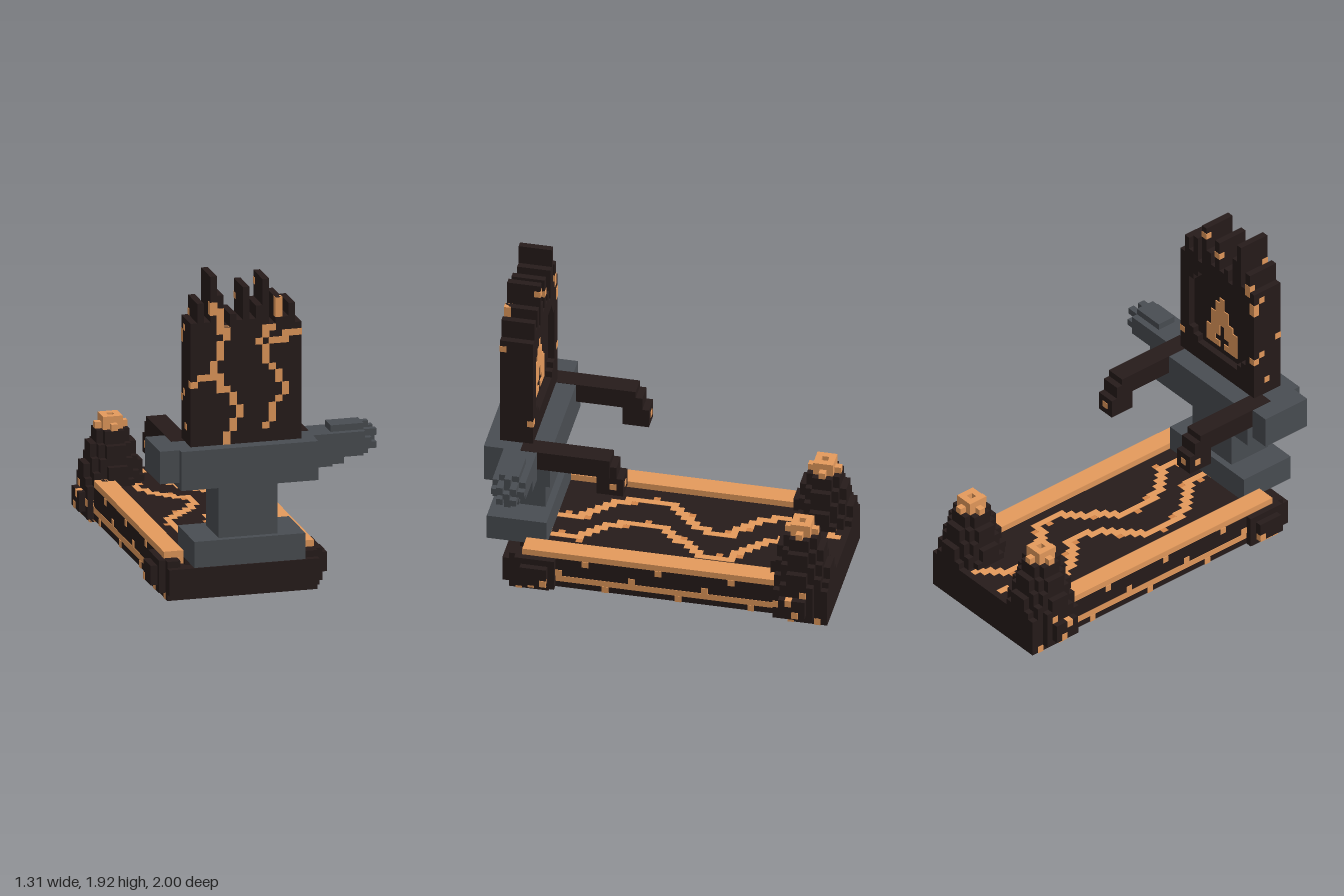
import * as THREE from 'three';

const mat = (name, color) => Object.assign(new THREE.MeshStandardMaterial({ color }), { name });

export function createModel() {
  const basalt = mat('basalt', 0x261b1a), lava = mat('lava', 0xe49a5c), steel = mat('steel', 0x494d52);
  const ember = mat('ember', 0xd4864a);
  const root = new THREE.Group();
  root.name = 'treadmill';
  // Everything is laid out in whole blocks, with x measured from the middle of the deck
  const model = new THREE.Group();
  model.name = 'blocks';
  model.scale.setScalar(1 / 26);
  model.position.x = -3.5 / 26;
  root.add(model);

  const box = (name, m, x0, x1, y0, y1, z0, z1) => {
    const mesh = new THREE.Mesh(new THREE.BoxGeometry(x1 - x0, y1 - y0, z1 - z0), m);
    mesh.position.set((x0 + x1) / 2, (y0 + y1) / 2, (z0 + z1) / 2);
    mesh.name = name;
    model.add(mesh);
  };
  const pair = (name, m, x0, x1, ...rest) => {
    box(name, m, x0, x1, ...rest);
    box(name, m, -x1, -x0, ...rest);
  };

  // Running deck, hollow underneath
  box('deck', basalt, -8.5, 8.5, 5, 6, -25, 18);
  box('frontBeam', basalt, -11.5, 11.5, 0, 5, 20, 22);
  box('frontBumper', basalt, -11.5, 11.5, 1, 5, 22, 23);
  box('frontLip', basalt, -8.5, 8.5, 5, 6, 20, 21);
  box('rearBeam', basalt, -11.5, 11.5, 0, 5, -26, -24);
  box('rearLedge', basalt, -11.5, 11.5, 5, 6, -26, -24);
  pair('sideBeam', basalt, 10.5, 11.5, 1, 6, -19, 20);
  pair('rail', lava, 8.5, 11.5, 6, 7, -18, 20);
  pair('railEnd', lava, 8.5, 10.5, 5, 6, 18, 20.1);
  pair('sideStripe', lava, 10.45, 11.55, 2, 3, -18, 15);
  for (const u of [-3.5, 2.5]) box('lipSpeck', lava, u - 1, u + 1, 5, 6, 20.9, 21.06);

  // Glowing specks set right through the side beams
  for (let k = 0; k < 4; k++) {
    pair('speck', lava, 10.42, 11.6, 3, 4, 14 - 11 * k, 15 - 11 * k);
    if (k < 3) {
      pair('speck', lava, 10.42, 11.6, 5, 6, 10 - 11 * k, 11 - 11 * k);
      pair('speck', lava, 10.42, 11.6, 0.95, 2, 7 - 11 * k, 8 - 11 * k);
    }
  }

  // Roller blocks and caps at the four corners
  for (const [z0, z1, capStart, capEnd] of [[16, 22, 15, 21], [-26, -20, -24, -18]]) {
    pair('rollerBlock', basalt, 9.5, 11.5, 0, 6, z0, z1);
    pair('rollerCap', basalt, 11.5, 12.5, 1, 6, capStart, capEnd);
    pair('rollerHub', basalt, 12.5, 13.5, 2, 5, capStart + 1, capEnd - 1);
  }
  for (const [x, y, z] of [[11.5, 0, 20], [12.5, 1, 18], [13.5, 2, 16], [11.5, 0, -21], [13.5, 2, -22],
    [13.5, 4, -21], [12.5, 3, -19], [12.5, 5, -23], [11.5, 0, -25]]) {
    pair('capSpeck', lava, x - 0.9, x + 0.08, y - 0.05, y + 1.05, z, z + 1);
  }

  // Ragged lava cracks winding along the deck
  const cracks = [
    [[3.5, -25], [0.5, -21], [-0.5, -18], [0.5, -16], [1.5, -14], [6, -10.5], [6.3, -6], [3.5, -3], [0.3, 0.5],
      [0.3, 6], [2.5, 10], [5.7, 13], [5.5, 16], [3.5, 18]],
    [[-2, -25], [-5, -23], [-6, -18], [-5.5, -16], [-4.5, -13], [0.3, -9.5], [0.3, -6], [-2.5, -2.5], [-5.8, 1],
      [-5.8, 6], [-2.5, 11], [0.7, 14], [0.5, 16], [-1.5, 18]],
  ];
  for (const path of cracks) {
    let last = null;
    for (let z = -25; z < 18; z++) {
      const k = path.findIndex((p) => p[1] > z);
      const [a, b] = [path[k - 1], path[k]];
      const x = Math.floor(a[0] + (b[0] - a[0]) * (z + 0.5 - a[1]) / (b[1] - a[1])) + 0.5;
      if (last === null) last = x;
      box('deckCrack', lava, Math.min(x, last) - 0.5, Math.max(x, last) + 0.5, 4.95, 6.06, z, z + 1.06);
      if (z % 3 === 0) {
        const side = z % 2 === 0 ? 0.8 : -0.8;
        box('crackChip', ember, x + side - 0.5, x + side + 0.5, 4.95, 6.04, z, z + 1);
      }
      last = x;
    }
  }

  // Volcano at each rear corner, built from block columns that fall away from the crater
  const slope = [14, 14, 14, 12, 9, 5];
  for (const cx of [-8, 8]) {
    const cz = -21.5;
    for (let i = -4; i <= 4; i++) {
      for (let j = -4; j <= 4; j++) {
        const d = Math.hypot(i, j);
        if (d >= 5) continue;
        const k = Math.floor(d);
        const top = Math.round(slope[k] + (slope[k + 1] - slope[k]) * (d - k));
        if (top > 5) box('volcano', basalt, cx + i - 0.5, cx + i + 0.5, 5, top, cz + j - 0.5, cz + j + 0.5);
      }
    }
    box('craterRim', lava, cx - 2.5, cx + 2.5, 14, 15, cz - 0.5, cz + 0.5);
    box('craterRim', lava, cx - 0.5, cx + 0.5, 14, 15, cz - 2.5, cz + 2.5);
    box('crater', lava, cx - 1.5, cx + 1.5, 14, 15, cz - 1.5, cz + 1.5);
    for (const s of [-1, 1]) {
      box('craterWall', lava, cx - 1.5, cx + 1.5, 15, 16, cz + s - 0.5, cz + s + 0.5);
      box('craterWall', lava, cx + s - 0.5, cx + s + 0.5, 15, 16, cz - 0.5, cz + 0.5);
    }
  }

  // Pedestal and console
  box('foot', steel, -8.5, 8.5, 6, 10, 17, 26);
  box('neck', steel, -4.5, 4.5, 10, 18, 18, 25);
  box('console', steel, -10.5, 10.5, 18, 24, 16, 26);
  box('consoleEnd', steel, -13.5, -10.5, 19, 24, 17, 25);

  // Side lever: a rounded bundle of blocks with an uneven, domed end
  box('leverArm', steel, 10.5, 13.5, 19, 24, 18, 23);
  box('leverArm', steel, 13.5, 15.5, 19, 24, 19, 22);
  for (let i = -2; i <= 2; i++) {
    for (let j = -2; j <= 2; j++) {
      const rim = Math.max(Math.abs(i), Math.abs(j)), odd = Math.abs(i + j) % 2;
      if (Math.abs(i) + Math.abs(j) === 4) continue;
      const end = (rim === 2 ? 19.5 : 20.5) - odd;
      box('leverKnob', steel, 13.5, end, 22 + i, 23 + i, 20 + j, 21 + j);
    }
  }

  // Hand grips
  pair('grip', basalt, 7.5, 10.55, 21, 24.05, 7, 20.5);
  pair('gripBend', basalt, 7.5, 10.5, 18, 23, 6, 9);
  pair('gripTip', basalt, 7.5, 10.5, 18, 21, 5, 9);
  pair('gripSpeck', lava, 9.6, 10.58, 19, 20, 6, 7);
  pair('gripSpeck', lava, 8.5, 9.5, 19, 20, 4.92, 5.5);

  // Screen tower with a jagged top; the inner layer frames a recessed screen
  const tops = [43, 46, 43, 50, 47, 42, 44, 43, 48, 43, 45, 49, 42, 46, 43, 45, 42];
  const skyline = () => {
    const s = new THREE.Shape();
    s.moveTo(-8.5, 24);
    tops.forEach((t, i) => s.lineTo(i - 8.5, t).lineTo(i - 7.5, t));
    s.lineTo(8.5, 24);
    return s;
  };
  const tower = (name, shape, z, depth) => {
    const mesh = new THREE.Mesh(new THREE.ExtrudeGeometry(shape, { depth, bevelEnabled: false }), basalt);
    mesh.position.z = z;
    mesh.name = name;
    model.add(mesh);
  };
  tower('tower', skyline(), 20, 4);
  const frame = skyline();
  frame.holes.push(new THREE.Path([[-4.5, 27], [4.5, 27], [4.5, 28], [5.5, 28], [5.5, 29], [6.5, 29], [6.5, 38],
    [5.5, 38], [5.5, 39], [4.5, 39], [4.5, 40], [-4.5, 40], [-4.5, 39], [-5.5, 39], [-5.5, 38], [-6.5, 38],
    [-6.5, 29], [-5.5, 29], [-5.5, 28], [-4.5, 28]].map((p) => new THREE.Vector2(...p))));
  tower('screenFrame', frame, 19, 1);

  // Flame on the screen, drawn as seen from the runner's side
  ['...#...', '..##...', '..###..', '.####..', '.#####.', '.##.###', '###.###', '##...##', '###.###']
    .forEach((row, r) => [...row].forEach((c, i) => {
      if (c === '#') box('flame', lava, 2.5 - i, 3.5 - i, 36 - r, 37 - r, 19.85, 20.1);
    }));

  // Cracks on the tower's front: first column, last column, first row, end row
  const streaks = [[5, 5, 24, 26], [6, 6, 26, 28], [7, 7, 28, 30], [6, 6, 30, 32], [5, 5, 32, 33], [4, 4, 32, 35],
    [3, 3, 34, 37], [4, 4, 37, 40], [5, 5, 40, 42], [4, 4, 41, 45], [3, 3, 44, 46], [0, 0, 33, 34], [1, 2, 34, 35],
    [11, 11, 26, 27], [12, 12, 27, 30], [13, 13, 30, 31], [14, 14, 31, 33], [13, 13, 33, 35], [12, 12, 35, 36],
    [11, 11, 36, 39], [10, 10, 39, 40], [11, 11, 40, 42], [12, 14, 39, 40], [14, 16, 40, 41], [12, 12, 41, 42],
    [13, 13, 43, 46]];
  for (const [a, b, y0, y1] of streaks) {
    box('towerCrack', lava, a - 8.56, b - 7.44, y0, y1, 23, 24.06);
  }
  // Specks on the tower's sides and inner face: column, row, z
  for (const [i, y, z] of [[16, 27, 19], [0, 30, 19], [0, 31, 20], [0, 39, 19], [0, 40, 19], [0, 41, 20], [0, 26, 21],
    [1, 43, 19], [1, 42, 19], [8, 45, 19], [11, 47, 19]]) {
    box('towerSpeck', lava, i - 8.56, i - 7.44, y, y + 1, z - 0.06, z + 0.9);
  }
  return root;
}
